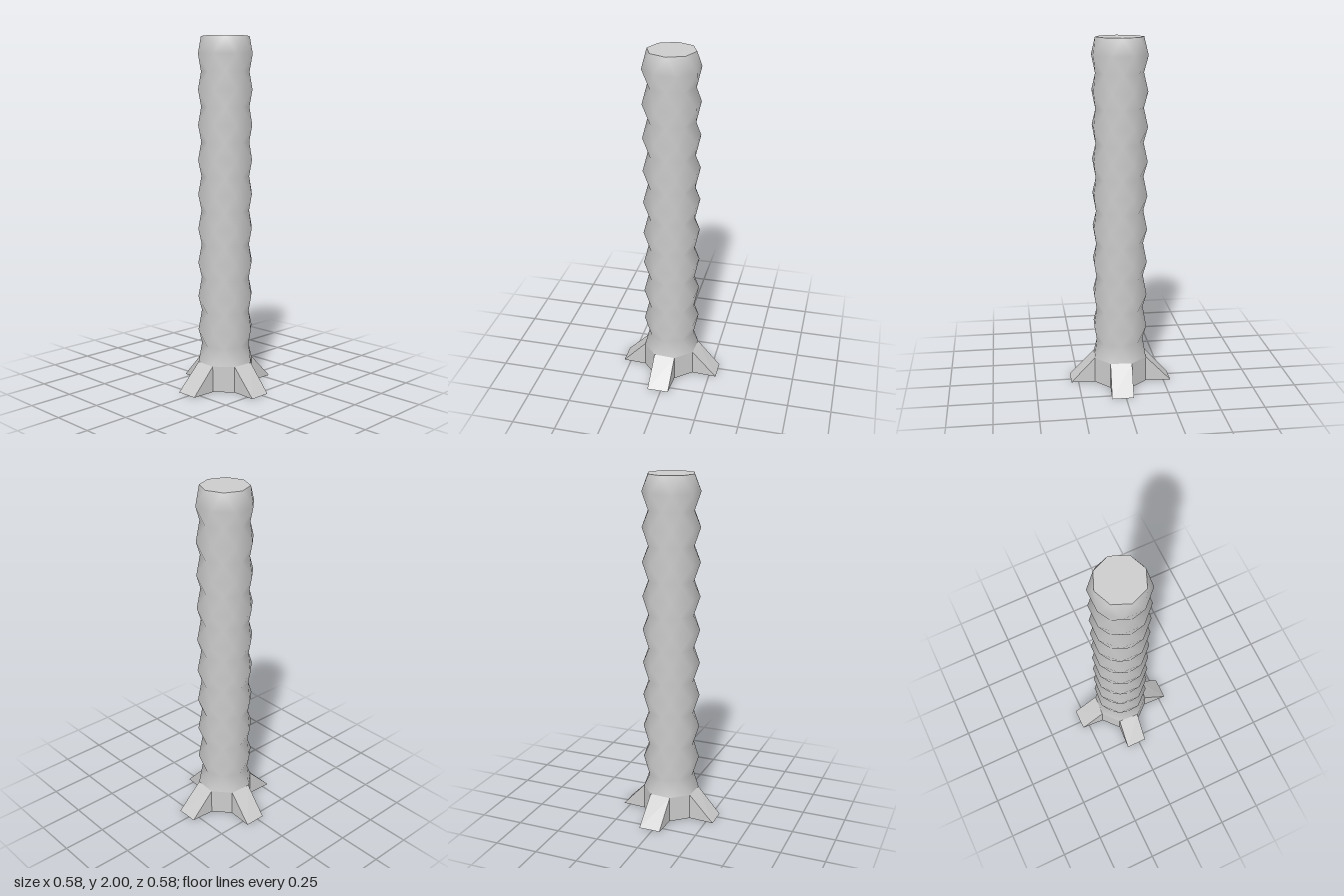
import * as THREE from 'three';

const SIDES = 8, LAYERS = 19;
const R_OUT = 0.1625, R_IN = 0.135;      // alternating ring radii
const BASE_H = 0.15, HEIGHT = 2;
const START = THREE.MathUtils.degToRad(18.6);
const TWIST = (THREE.MathUtils.degToRad(450) - START) / LAYERS;

const material = new THREE.MeshStandardMaterial({ color: 0xcccccc });
const flatMaterial = new THREE.MeshStandardMaterial({ color: 0xcccccc, flatShading: true });

function makeMesh(name, geometry, mat) {
  const mesh = new THREE.Mesh(geometry, mat);
  mesh.name = name;
  return mesh;
}

// Stacked octagons, each turned a little over half a side, wide and narrow in turn
function twistedShaft() {
  const pos = [], index = [];
  for (let k = 0; k <= LAYERS; k++) {
    const r = k % 2 ? R_IN : R_OUT;
    const y = BASE_H + (HEIGHT - BASE_H) * k / LAYERS;
    for (let j = 0; j < SIDES; j++) {
      const a = START + k * TWIST + j * Math.PI * 2 / SIDES;
      pos.push(r * Math.sin(a), y, r * Math.cos(a));
    }
  }
  for (let k = 0; k < LAYERS; k++) {
    for (let j = 0; j < SIDES; j++) {
      const n = (j + 1) % SIDES;
      const a = k * SIDES, b = a + SIDES;
      index.push(a + j, a + n, b + j, a + n, b + n, b + j);
    }
  }
  const g = new THREE.BufferGeometry();
  g.setAttribute('position', new THREE.Float32BufferAttribute(pos, 3));
  g.setIndex(index);
  g.computeVertexNormals();
  return g;
}

// Wedge foot growing out of one side of the base octagon
function footGeometry() {
  const corner = (a, y) => [R_OUT * Math.sin(a), y, R_OUT * Math.cos(a)];
  const left = START - Math.PI / 4;
  const p0 = corner(left, 0), p1 = corner(START, 0);
  const t0 = corner(left, BASE_H), t1 = corner(START, BASE_H);
  const q0 = [-0.081, 0, 0.292], q1 = [0.044, 0, 0.292];
  const faces = [
    q0, q1, t1, q0, t1, t0,   // slope
    q1, p1, t1, q0, t0, p0,   // sides
    q0, p0, p1, q0, p1, q1,   // underside
  ];
  const g = new THREE.BufferGeometry();
  g.setAttribute('position', new THREE.Float32BufferAttribute(faces.flat(), 3));
  g.computeVertexNormals();
  return g;
}

export function createModel() {
  const model = new THREE.Group();
  model.name = 'twistedColumn';

  model.add(makeMesh('shaft', twistedShaft(), material));

  // Flat top
  const cap = new THREE.CircleGeometry(R_IN, SIDES).rotateX(-Math.PI / 2).translate(0, HEIGHT, 0);
  model.add(makeMesh('topCap', cap, flatMaterial));

  // Straight octagonal base
  const base = new THREE.CylinderGeometry(R_OUT, R_OUT, BASE_H, SIDES, 1, false, START)
    .translate(0, BASE_H / 2, 0);
  model.add(makeMesh('base', base, flatMaterial));

  // Four feet
  const foot = footGeometry();
  ['frontFoot', 'leftFoot', 'backFoot', 'rightFoot'].forEach((name, i) => {
    const mesh = makeMesh(name, foot, flatMaterial);
    mesh.rotation.y = i * Math.PI / 2;
    model.add(mesh);
  });

  return model;
}
